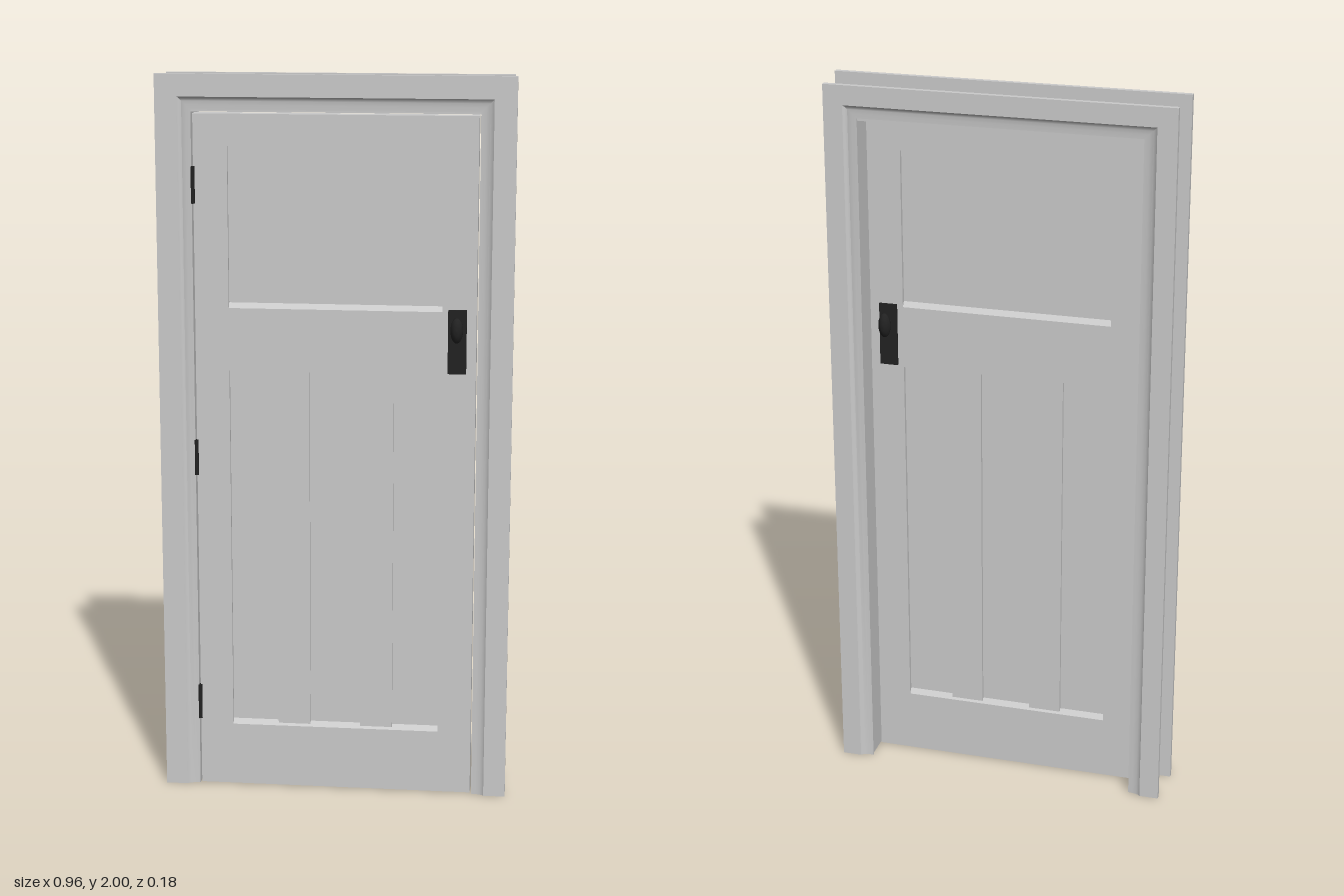
import * as THREE from 'three';
import { toCreasedNormals } from 'three/addons/utils/BufferGeometryUtils.js';

const grey = new THREE.MeshStandardMaterial({ color: 0xcccccc });
const black = new THREE.MeshStandardMaterial({ color: 0x222222 });

// Door leaf: faces, middle plane and recess depth
const FRONT = 0.035, BACK = -0.008, MID = (FRONT + BACK) / 2, HALF = (FRONT - BACK) / 2;
const RECESS = 0.011;

function add(parent, name, geometry, material = grey) {
  const mesh = new THREE.Mesh(geometry, material);
  mesh.name = name;
  parent.add(mesh);
  return mesh;
}

function box(parent, name, x0, x1, y0, y1, z0, z1, material) {
  const mesh = add(parent, name, new THREE.BoxGeometry(x1 - x0, y1 - y0, z1 - z0), material);
  mesh.position.set((x0 + x1) / 2, (y0 + y1) / 2, (z0 + z1) / 2);
  return mesh;
}

// Moulding section swept up, across and down with mitred corners.
// Section points are [distance in from the outer edge, z], counter-clockwise.
function architraveGeometry(w, h, section) {
  const at = (i, [d, z]) => [
    (i < 2 ? -1 : 1) * (w - d),
    i === 0 || i === 3 ? 0 : h - d,
    z,
  ];
  const pos = [];
  const tri = (a, b, c) => pos.push(...a, ...b, ...c);
  for (let i = 0; i < 3; i++) {
    section.forEach((p, k) => {
      const q = section[(k + 1) % section.length];
      const a = at(i, p), b = at(i, q), c = at(i + 1, q), d = at(i + 1, p);
      tri(a, c, b);
      tri(a, d, c);
    });
  }
  // Feet of both legs
  const outline = section.map(([x, y]) => new THREE.Vector2(x, y));
  for (const [a, b, c] of THREE.ShapeUtils.triangulateShape(outline, [])) {
    tri(at(0, section[a]), at(0, section[b]), at(0, section[c]));
    tri(at(3, section[a]), at(3, section[c]), at(3, section[b]));
  }
  const g = new THREE.BufferGeometry();
  g.setAttribute('position', new THREE.Float32BufferAttribute(pos, 3));
  return toCreasedNormals(g, 0.6);
}

// Flat face with a hollow cove down to the thin inner edge
function architraveSection(inner) {
  const e = inner - 0.095;
  return [
    [0, 0.035], [inner, 0.035], [inner, 0.039], [e + 0.082, 0.04],
    [e + 0.071, 0.0425], [e + 0.064, 0.046], [e + 0.06, 0.05], [0, 0.05],
  ];
}

// Cross rail with its upper edges sloping up to the recessed panel
function railGeometry(width, y0, y1, slope) {
  const s = new THREE.Shape([
    [-HALF, y0], [HALF, y0], [HALF, y1], [HALF - RECESS, y1 + slope],
    [-HALF + RECESS, y1 + slope], [-HALF, y1],
  ].map(([x, y]) => new THREE.Vector2(x, y)));
  const g = new THREE.ExtrudeGeometry(s, { depth: width, bevelEnabled: false });
  return g.translate(0, 0, -width / 2).rotateY(-Math.PI / 2).translate(0, 0, MID);
}

// Plate, neck and oval knob, built outwards along +z
function makeHandle(name) {
  const handle = new THREE.Group();
  handle.name = name;
  box(handle, 'handlePlate', -0.025, 0.025, -0.125, 0.05, 0, 0.005, black);
  const neck = add(handle, 'knobNeck', new THREE.CylinderGeometry(0.006, 0.008, 0.022, 16), black);
  neck.rotation.x = Math.PI / 2;
  neck.position.z = 0.014;
  const profile = [
    [0, 0], [0.007, 0.001], [0.013, 0.006], [0.017, 0.013],
    [0.0165, 0.018], [0.011, 0.026], [0.006, 0.029], [0, 0.03],
  ].map(([r, y]) => new THREE.Vector2(r, y));
  const knob = add(handle, 'knob', new THREE.LatheGeometry(profile, 24), black);
  knob.geometry.rotateX(Math.PI / 2);
  knob.scale.set(1, 2.05, 1);
  knob.position.z = 0.022;
  return handle;
}

export function createModel() {
  const model = new THREE.Group();
  model.name = 'panelledDoor';

  // Lining of the opening
  const u = new THREE.Shape([
    [-0.405, 0], [-0.385, 0], [-0.385, 1.9], [0.385, 1.9],
    [0.385, 0], [0.405, 0], [0.405, 1.925], [-0.405, 1.925],
  ].map(([x, y]) => new THREE.Vector2(x, y)));
  add(model, 'doorLining', new THREE.ExtrudeGeometry(u, { depth: 0.112, bevelEnabled: false }))
    .position.z = -0.076;

  // Architraves on both sides of the wall
  add(model, 'frontArchitrave', architraveGeometry(0.48, 2, architraveSection(0.095)));
  const back = add(model, 'backArchitrave', architraveGeometry(0.47, 1.995, architraveSection(0.088)));
  back.rotation.y = Math.PI;
  back.position.z = -0.04;

  // Door leaf
  const leaf = new THREE.Group();
  leaf.name = 'doorLeaf';
  model.add(leaf);
  box(leaf, 'panels', -0.3, 0.3, 0.1, 1.85, BACK + RECESS, FRONT - RECESS);
  for (const s of [-1, 1]) {
    box(leaf, 'stile', s * 0.335 - 0.046, s * 0.335 + 0.046, 0.002, 1.895, BACK, FRONT);
    box(leaf, 'mullion', s * 0.115 - 0.045, s * 0.115 + 0.045, 0.188, 1.2, BACK + 0.001, FRONT - 0.001);
  }
  box(leaf, 'topRail', -0.289, 0.289, 1.81, 1.895, BACK, FRONT);
  add(leaf, 'lockRail', railGeometry(0.578, 1.2, 1.373, 0.014));
  add(leaf, 'bottomRail', railGeometry(0.578, 0.002, 0.18, 0.014));

  // Handles on both faces
  const frontHandle = makeHandle('frontHandle');
  frontHandle.position.set(0.33, 1.33, FRONT);
  const backHandle = makeHandle('backHandle');
  backHandle.position.set(0.33, 1.33, BACK);
  backHandle.rotation.y = Math.PI;
  model.add(frontHandle, backHandle);

  // Hinges
  for (const y of [0.245, 0.955, 1.705]) {
    const hinge = add(model, 'hinge', new THREE.CylinderGeometry(0.006, 0.006, 0.1, 12), black);
    hinge.position.set(-0.383, y, FRONT);
  }
  return model;
}
